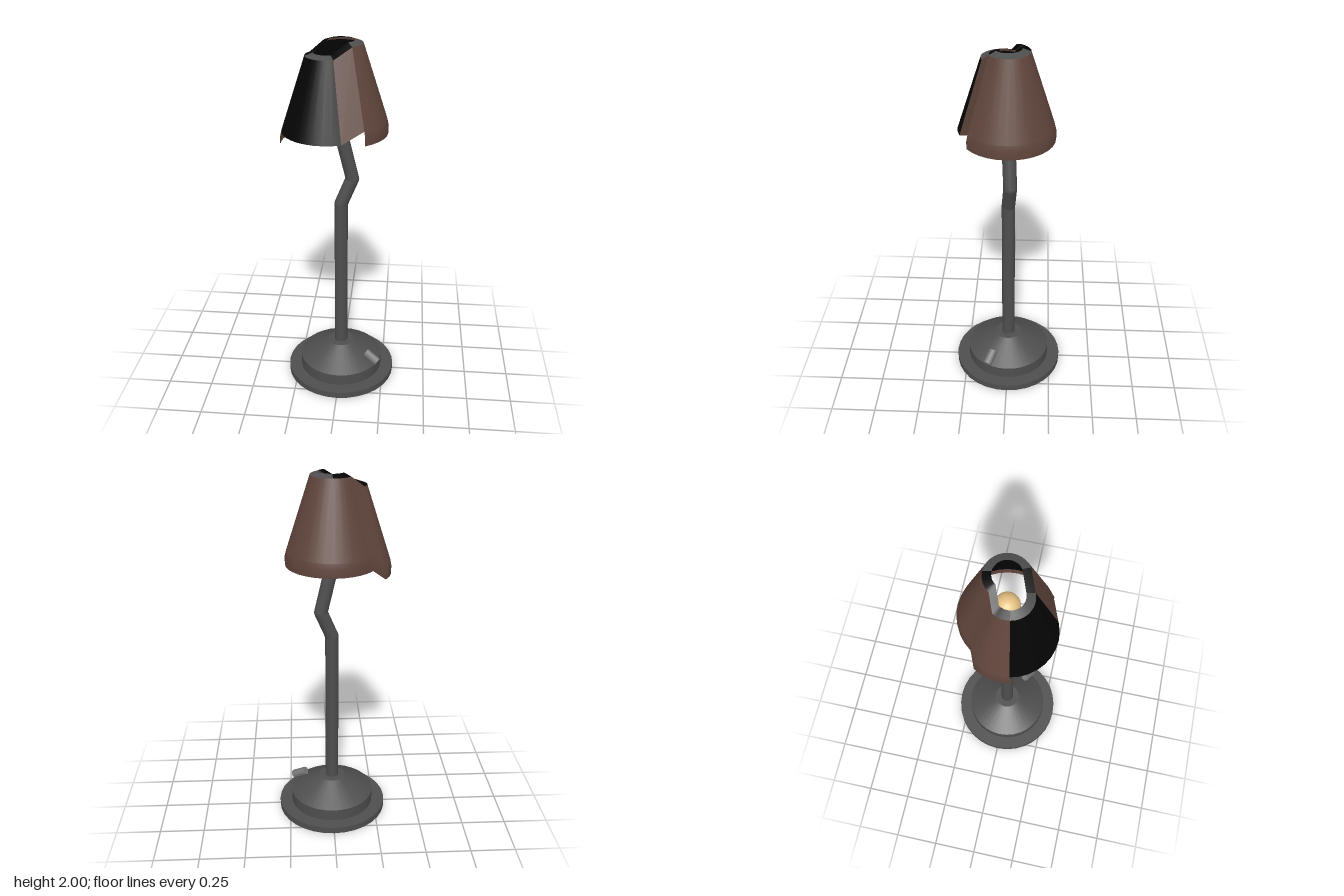
import * as THREE from 'three';

const mat = (name, color, side = THREE.FrontSide) => {
  const m = new THREE.MeshStandardMaterial({ color, side });
  m.name = name;
  return m;
};

export function createModel() {
  const lamp = new THREE.Group();
  lamp.name = 'deskLamp';
  const metal = mat('dark grey metal', 0x4e4e4e, THREE.DoubleSide);
  const brown = mat('brown shade', 0x60453c, THREE.DoubleSide);
  const black = mat('black panel', 0x050505, THREE.DoubleSide);
  const light = mat('light grey switch', 0x777777);
  const glass = mat('warm bulb glass', 0xe6c283);

  const add = (name, geo, material, parent = lamp) => {
    const mesh = new THREE.Mesh(geo, material);
    mesh.name = name;
    parent.add(mesh);
    return mesh;
  };
  const V = (x, y, z) => new THREE.Vector3(x, y, z);
  const UP = V(0, 1, 0);
  // Cylinder running from a to b
  const rod = (name, a, b, ra, rb, sides, material) => {
    const mesh = add(name, new THREE.CylinderGeometry(rb, ra, a.distanceTo(b), sides), material);
    mesh.position.copy(a).lerp(b, 0.5);
    mesh.quaternion.setFromUnitVectors(UP, b.clone().sub(a).normalize());
    return mesh;
  };

  // Stepped round base
  rod('baseDisc', V(0, 0, 0), V(0, 0.037, 0), 0.312, 0.312, 32, metal);
  rod('baseDrum', V(0, 0.037, 0), V(0, 0.105, 0), 0.24, 0.24, 32, metal);
  rod('baseCone', V(0, 0.105, 0), V(0, 0.2, 0), 0.24, 0.075, 32, metal);

  // Switch lying on the slope of the base
  rod('switch', V(0.155, 0.168, 0.085), V(0.225, 0.125, 0.118), 0.024, 0.026, 8, light);

  // Post with a kinked upper arm
  const path = [V(0, 0.19, 0), V(0, 1.1, 0), V(0.06, 1.245, -0.012), V(0, 1.5, 0)];
  const R = 0.037;
  for (let i = 0; i < 3; i++) {
    rod('postSection', path[i], path[i + 1], R, R, 16, metal);
    if (i) add('postJoint', new THREE.SphereGeometry(R, 16, 10), metal).position.copy(path[i]);
  }
  rod('collar', V(0.005, 1.475, 0), V(0, 1.51, 0), 0.038, 0.038, 16, metal);
  rod('socket', V(0, 1.51, 0), V(0, 1.56, 0), 0.045, 0.045, 16, brown);

  // Shade outline: a broken-out sector, pushed aside and down, then the rest
  const shift = V(-0.07, -0.057, 0.03);
  const ringPoint = (k, r, y) => {
    k %= 33;
    const moved = k < 14;
    const a = (moved ? 6 + k : 5 + k) * Math.PI / 16;
    const p = V(Math.cos(a) * r, y, Math.sin(a) * r);
    return moved ? p.add(shift) : p;
  };
  // Surface swept along part of the outline; profile is [radius, height]
  const shell = (name, profile, from, to, material) => {
    const pos = [], idx = [], rows = profile.length;
    for (let k = from; k <= to; k++) {
      for (const [r, y] of profile) pos.push(...ringPoint(k, r, y).toArray());
    }
    for (let k = 0; k < to - from; k++) {
      for (let j = 0; j < rows - 1; j++) {
        const a = k * rows + j, b = a + rows;
        idx.push(a, a + 1, b, b, a + 1, b + 1);
      }
    }
    const geo = new THREE.BufferGeometry();
    geo.setAttribute('position', new THREE.Float32BufferAttribute(pos, 3));
    geo.setIndex(idx);
    geo.computeVertexNormals();
    return add(name, geo, material);
  };

  const cone = [[0.24, 1.592], [0.112, 1.985]];
  const lip = [[0.247, 1.517], [0.248, 1.56], [0.24, 1.592]];
  const rim = [[0.112, 1.985], [0.07, 2]];
  shell('shadePanelDark', cone, 0, 9, black);
  shell('shadePanel', cone, 9, 32, brown);
  shell('shadeSeam', cone, 32, 33, brown);
  shell('shadeLip', lip, 9, 32, brown);
  shell('rimLoosePart', rim, 0, 9, metal);
  shell('rimDark', rim, 9, 19, black);
  shell('rimMain', rim, 19, 32, metal);
  shell('rimSeam', rim, 32, 33, black);
  shell('shadeLining', [[0.225, 1.6], [0.1, 1.978]], 0, 33, black);

  // Bulb tipped over, with its ridged screw cap
  const centre = V(0, 1.67, 0);
  const along = (d) => centre.clone().addScaledVector(V(-0.85, -0.25, 0.46).normalize(), d);
  add('bulb', new THREE.SphereGeometry(0.065, 24, 16), glass).position.copy(centre);
  rod('bulbNeck', along(0.035), along(0.1), 0.052, 0.03, 20, glass);
  rod('screwCap', along(0.095), along(0.185), 0.034, 0.034, 16, metal);
  for (let i = 0; i < 4; i++) {
    const d = 0.105 + i * 0.02;
    rod('screwThread', along(d), along(d + 0.009), 0.038, 0.038, 16, metal);
  }
  return lamp;
}
